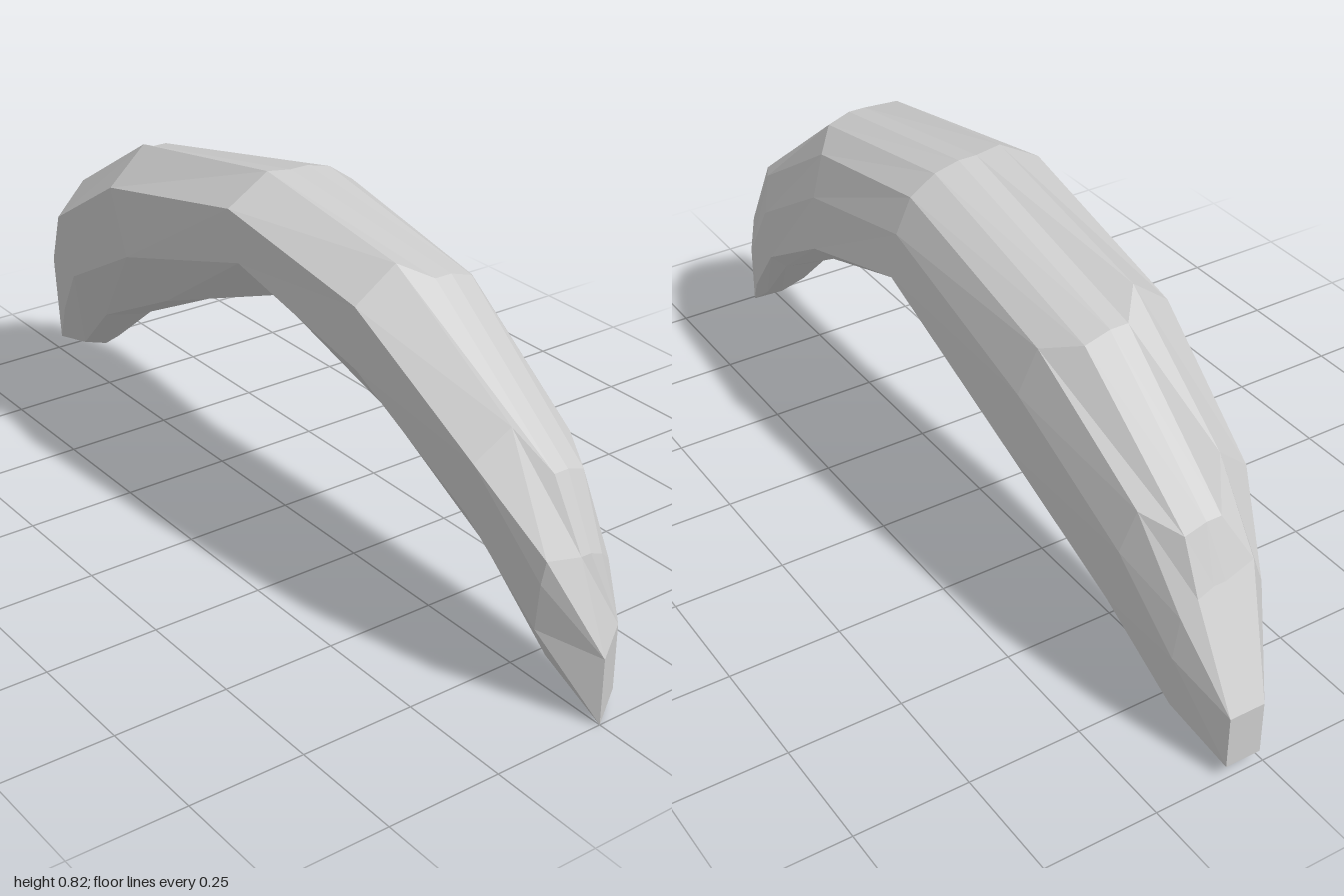
import * as THREE from 'three';

// Cross-section: [across 0..1, inner-to-outer 0..1], clockwise from the upper left crest
const section = [
  [0.28, 1], [0.44, 0.97], [0.56, 0.97], [0.72, 0.92], [0.88, 0.78], [0.97, 0.5],
  [1, 0.14], [0.87, 0.03], [0.65, 0], [0.3, 0.06], [0.05, 0.38], [0, 0.8],
];

// Stations along the bend: outer z, y; inner z, y; min x, max x;
// shift of the ridge facets z, y; how far the crest moves to the left edge; taper of the inner side
const stations = [
  [1.00, 0.145, 1.00, 0.00, 0.00, 0.075, 0, 0, 1, 0],
  [0.92, 0.345, 0.87, 0.08, -0.088, 0.108, 0.005, -0.01, 0.95, 0.05],
  [0.775, 0.547, 0.70, 0.25, -0.13, 0.145, 0.075, -0.07, 0, 0.05],
  [0.45, 0.76, 0.42, 0.42, -0.16, 0.168, 0.055, -0.015, 0, 0],
  [0.05, 0.825, 0.07, 0.54, -0.18, 0.175, 0, 0, 0, 0],
  [-0.43, 0.74, -0.36, 0.36, -0.172, 0.175, -0.065, -0.025, 0, 0],
  [-0.75, 0.55, -0.68, 0.20, -0.13, 0.16, -0.075, -0.07, 0, 0.05],
  [-0.87, 0.38, -0.86, 0.05, -0.08, 0.147, -0.005, -0.01, 0.5, 0.25],
  [-1.00, 0.15, -1.00, 0.03, 0.01, 0.09, 0, 0, 1, 0],
];

function fruitGeometry() {
  const positions = [], indices = [];
  const n = section.length, last = stations.length - 1;
  stations.forEach(([zo, yo, zi, yi, x0, x1, dz, dy, spread, taper], i) => {
    const isTip = i === 0 || i === last;
    for (const [su, sv] of section) {
      // Both tips are cut square; elsewhere only the crest is spread
      const v = isTip ? Math.round(sv - 0.01) : sv;
      let u = isTip ? Math.round(su) : su;
      if (sv === 1) u *= 1 - spread;
      u = 0.5 + (u - 0.5) * (1 - taper * (1 - v));
      // Ridge facets sit a little further along than the crests beside them
      const ridge = sv > 0.9 && sv < 1 ? 1 : 0;
      // The front tip is cut slightly askew
      const skew = i === 0 ? u : 0;
      positions.push(
        x0 + (x1 - x0) * u,
        yi + (yo - yi) * v + dy * ridge + 0.025 * skew,
        zi + (zo - zi) * v + dz * ridge - 0.045 * skew,
      );
    }
  });
  // Skin between neighbouring stations
  for (let i = 0; i < last; i++) {
    for (let k = 0; k < n; k++) {
      const a = i * n + k, b = i * n + (k + 1) % n;
      indices.push(a, b, a + n, b, b + n, a + n);
    }
  }
  // End caps
  for (let k = 1; k < n - 1; k++) {
    indices.push(0, k + 1, k);
    indices.push(last * n, last * n + k, last * n + k + 1);
  }
  const geometry = new THREE.BufferGeometry();
  geometry.setAttribute('position', new THREE.Float32BufferAttribute(positions, 3));
  geometry.setIndex(indices);
  const flat = geometry.toNonIndexed();
  flat.computeVertexNormals();
  return flat;
}

export function createModel() {
  const group = new THREE.Group();
  group.name = 'banana';
  const fruit = new THREE.Mesh(
    fruitGeometry(),
    new THREE.MeshStandardMaterial({ color: 0xcccccc, flatShading: true }),
  );
  fruit.name = 'curvedFruit';
  group.add(fruit);
  return group;
}
